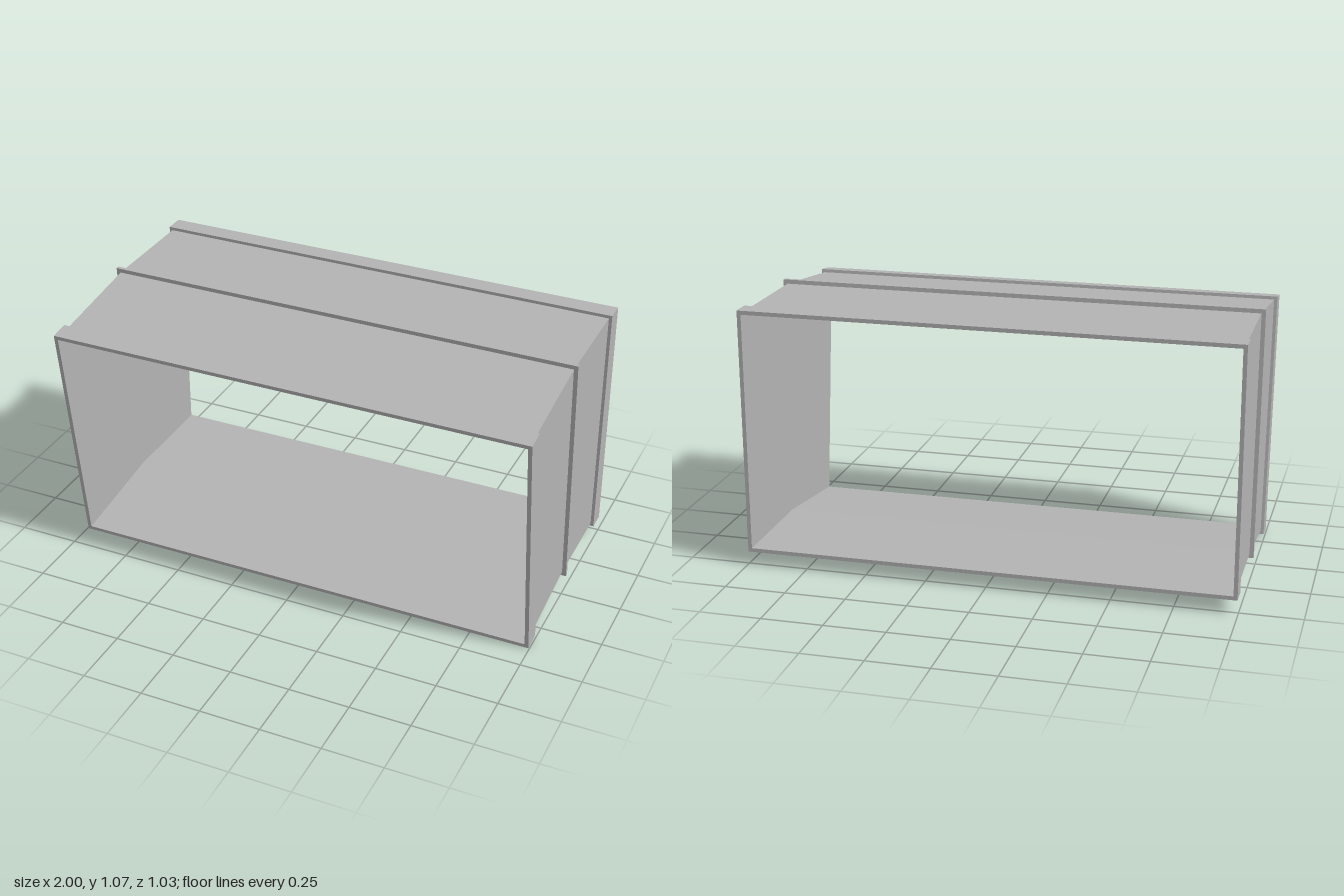
import * as THREE from 'three';

const HALF = 0.983; // half width of the duct wall

// A station is a rectangular section of the duct, given by its [z, y] at the bottom and top
const BACK = { bottom: [-0.515, 0.073], top: [-0.515, 1.057] };
const BACK_INNER = { bottom: [-0.435, 0.073], top: [-0.435, 1.057] };
const SEAM = { bottom: [-0.059, 0.073], top: [0.003, 1.057] };
const FRONT_INNER = { bottom: [0.313, 0.026], top: [0.436, 1.004] };
const FRONT = { bottom: [0.392, 0.016], top: [0.515, 0.994] };

const shiftZ = (s, d) => ({
  bottom: [s.bottom[0] + d, s.bottom[1]],
  top: [s.top[0] + d, s.top[1]],
});

// Four corners of a station, grown outwards by an offset in its own plane
function corners(station, offset) {
  const b = new THREE.Vector3(0, station.bottom[1], station.bottom[0]);
  const t = new THREE.Vector3(0, station.top[1], station.top[0]);
  const up = t.clone().sub(b).normalize();
  b.addScaledVector(up, -offset);
  t.addScaledVector(up, offset);
  const w = HALF + offset;
  return [[-w, b], [w, b], [w, t], [-w, t]].map(([x, p]) => new THREE.Vector3(x, p.y, p.z));
}

// Closed profile of [station, offset] pairs carried round the rectangle
function ring(profile) {
  const loops = profile.map(([s, o]) => corners(s, o));
  const points = [];
  for (let j = 0; j < loops.length; j++) {
    const p = loops[j];
    const q = loops[(j + 1) % loops.length];
    for (let c = 0; c < 4; c++) {
      const n = (c + 1) % 4;
      points.push(p[c], p[n], q[n], p[c], q[n], q[c]);
    }
  }
  const geometry = new THREE.BufferGeometry().setFromPoints(points);
  geometry.computeVertexNormals();
  return geometry;
}

export function createModel() {
  const model = new THREE.Group();
  model.name = 'ductElbow';
  const metal = new THREE.MeshStandardMaterial({ color: 0xb4b4b4 });
  metal.name = 'galvanised grey';

  const add = (name, profile) => {
    const mesh = new THREE.Mesh(ring(profile), metal);
    mesh.name = name;
    model.add(mesh);
  };

  // Thin sheet walls, bent at the seam
  const wall = -0.003;
  add('ductWalls', [
    [BACK, 0], [SEAM, 0], [FRONT, 0],
    [FRONT, wall], [SEAM, wall], [BACK, wall],
  ]);

  // Raised collars at both ends and a narrow rib over the seam
  const collar = (name, from, to, height) =>
    add(name, [[from, height], [to, height], [to, 0], [from, 0]]);
  collar('backFlange', BACK, BACK_INNER, 0.013);
  collar('frontFlange', FRONT_INNER, FRONT, 0.013);
  collar('seamRib', shiftZ(SEAM, -0.008), shiftZ(SEAM, 0.008), 0.017);

  return model;
}
